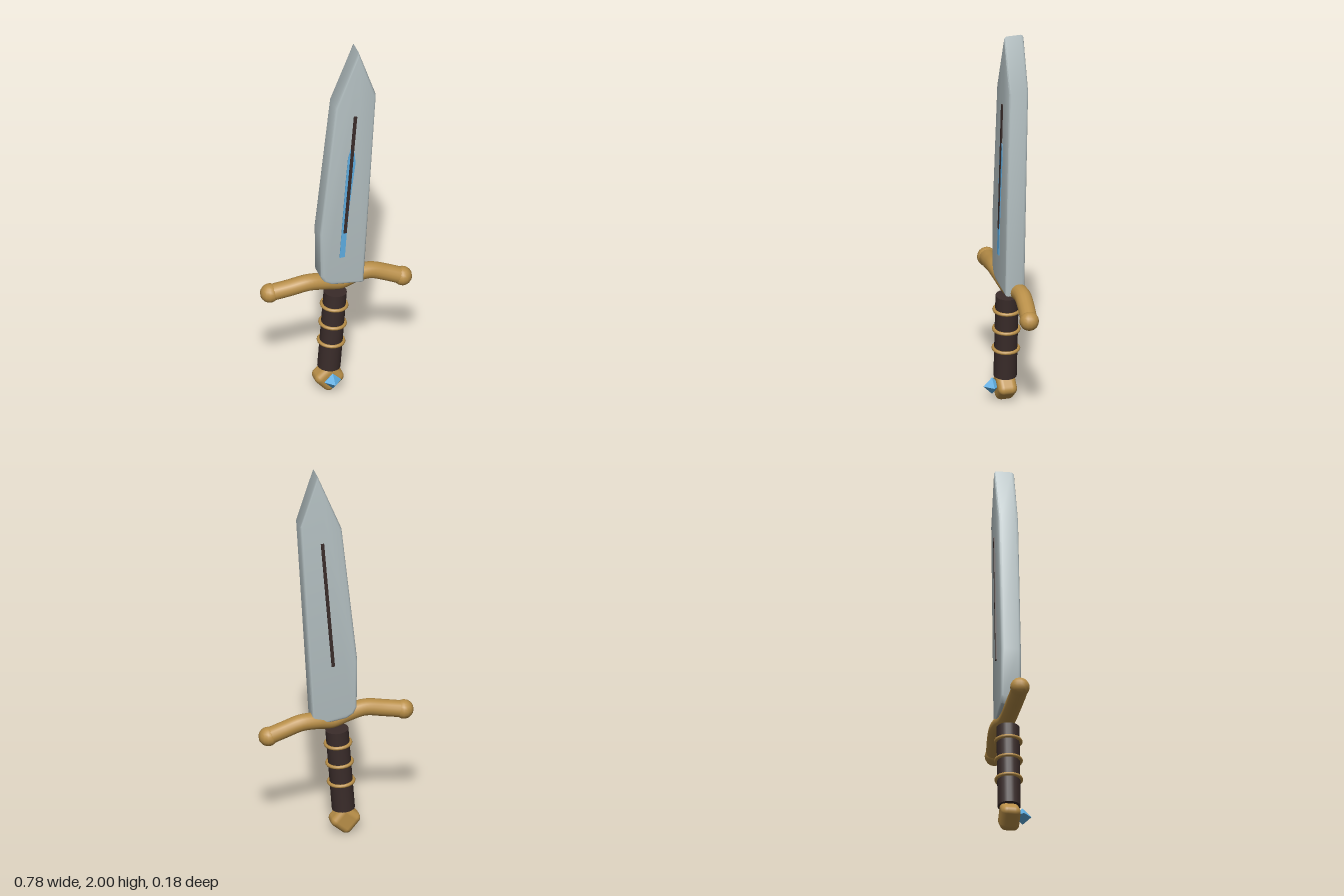
import * as THREE from 'three';
import { toCreasedNormals } from 'three/addons/utils/BufferGeometryUtils.js';
import { RoundedBoxGeometry } from 'three/addons/geometries/RoundedBoxGeometry.js';

const mat = (color) => new THREE.MeshStandardMaterial({ color });
const steel = mat(0xb4c0c2), gold = mat(0xb98f48), leather = mat(0x3a2c2a), blue = mat(0x5dade2);
const MID = -0.02; // depth of the sword's centre plane

function add(group, name, geometry, material, x = 0, y = 0, z = 0) {
  const mesh = new THREE.Mesh(geometry, material);
  mesh.name = name;
  mesh.position.set(x, y, z);
  group.add(mesh);
  return mesh;
}

const outline = (points) => new THREE.Shape(points.map(([x, y]) => new THREE.Vector2(x, y)));

export function createModel() {
  const sword = new THREE.Group();
  sword.name = 'sword';

  // Blade: thick leaning slab with softened edges
  const bevel = 0.014;
  const bladeShape = outline([
    [0.125, 0.62], [0.19, 1.73], [0.102, 2.0], [-0.02, 1.695], [-0.1, 0.955],
    [-0.097, 0.7], [-0.08, 0.665], [-0.045, 0.643],
  ]);
  const blade = new THREE.ExtrudeGeometry(bladeShape, {
    depth: 0.1 - 2 * bevel, bevelThickness: bevel, bevelSize: bevel, bevelOffset: -bevel, bevelSegments: 3,
  });
  add(sword, 'blade', toCreasedNormals(blade, 0.6), steel, 0, 0, MID - 0.05 + bevel);

  // Dark groove strip showing on both faces
  const groove = add(sword, 'bladeGroove', new THREE.BoxGeometry(0.016, 0.687, 0.113), leather, 0.053, 1.287, MID);
  groove.rotation.z = -0.08;

  // Blue inlay on the front face
  const inlay = outline([
    [-0.002, 0.8], [0.025, 0.8], [0.034, 0.93], [0.05, 1.11], [0.08, 1.35], [0.076, 1.41],
    [0.06, 1.45], [0.042, 1.39], [0.03, 1.25],
  ]);
  add(sword, 'bladeInlay', new THREE.ExtrudeGeometry(inlay, { depth: 0.008, bevelEnabled: false }), blue, 0, 0, 0.0255);

  // Wavy crossguard with a ball at each end
  const guardPath = new THREE.CatmullRomCurve3([
    [-0.345, 0.633, -0.022], [-0.25, 0.648, -0.012], [-0.15, 0.662, -0.006], [-0.06, 0.645, -0.012],
    [0.02, 0.625, -0.022], [0.1, 0.637, -0.036], [0.18, 0.638, -0.041], [0.26, 0.61, -0.035], [0.342, 0.576, -0.024],
  ].map((p) => new THREE.Vector3(...p)));
  add(sword, 'crossguard', new THREE.TubeGeometry(guardPath, 40, 0.042, 16), gold);
  for (const [name, t] of [['rightGuardBall', 0], ['leftGuardBall', 1]]) {
    const p = guardPath.getPoint(t);
    add(sword, name, new THREE.SphereGeometry(0.048, 14, 10), gold, p.x, p.y, p.z);
  }

  // Leaning grip with three wire bands
  const grip = new THREE.Group();
  grip.name = 'gripAssembly';
  grip.position.set(-0.023, 0.35, MID);
  grip.rotation.z = -0.075;
  sword.add(grip);
  add(grip, 'grip', new THREE.CylinderGeometry(0.057, 0.057, 0.44, 20), leather);
  for (const y of [-0.07, 0.036, 0.142]) {
    const band = add(grip, 'gripBand', new THREE.TorusGeometry(0.062, 0.009, 8, 20), gold, 0, y, 0);
    band.rotation.x = Math.PI / 2;
  }

  // Diamond-set rounded pommel and its gem
  const pommel = add(sword, 'pommel', new RoundedBoxGeometry(0.122, 0.122, 0.096, 4, 0.03), gold, -0.045, 0.074, MID);
  pommel.rotation.z = Math.PI / 4 - 0.075;
  add(sword, 'pommelGem', new THREE.OctahedronGeometry(0.044), blue, -0.042, 0.08, 0.046);

  return sword;
}
